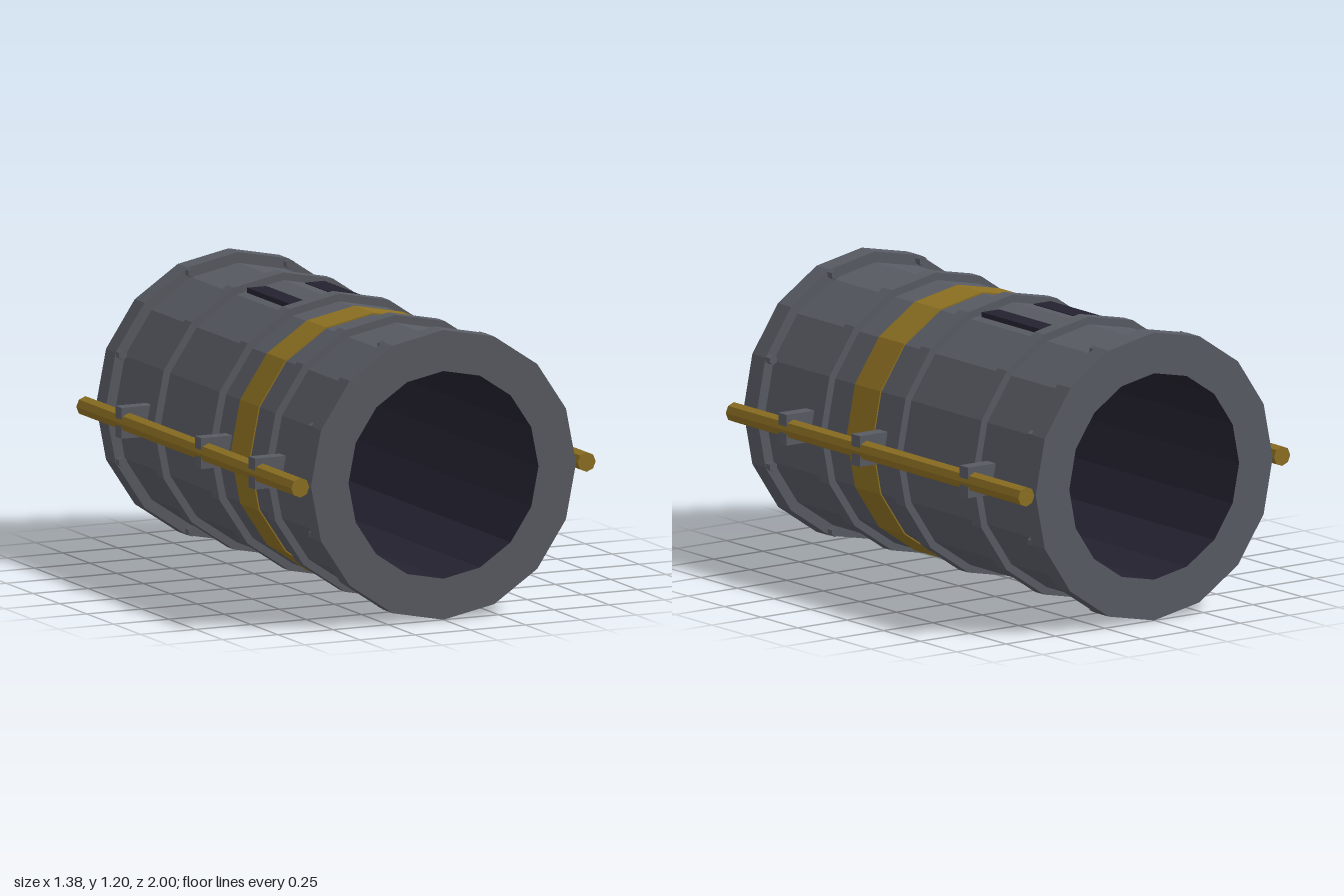
import * as THREE from 'three';

const SIDES = 16;
const CY = 0.6; // height of the tube axis

export function createModel() {
  const mat = (name, color) => {
    const m = new THREE.MeshStandardMaterial({ color });
    m.name = name;
    return m;
  };
  const steel = mat('steel grey', 0x585b63);
  const gold = mat('dull gold', 0x8d7022);
  const dark = mat('dark interior', 0x242230);

  const model = new THREE.Group();
  model.name = 'tubeSection';

  const add = (name, geometry, material, x = 0, y = 0, z = 0) => {
    const flat = geometry.index ? geometry.toNonIndexed() : geometry;
    flat.computeVertexNormals(); // faceted look
    const mesh = new THREE.Mesh(flat, material);
    mesh.name = name;
    mesh.position.set(x, y, z);
    model.add(mesh);
    return mesh;
  };

  // Revolve a profile of [radius, z] pairs around the z axis
  const revolve = (name, profile, material) => {
    const points = profile.map(([r, z]) => new THREE.Vector2(r, z));
    const g = new THREE.LatheGeometry(points, SIDES).rotateX(Math.PI / 2);
    return add(name, g, material, 0, CY, 0);
  };
  const ring = (name, inner, outer, z0, z1, material) =>
    revolve(name, [[inner, z0], [outer, z0], [outer, z1], [inner, z1]], material);

  // Hull tube and dark lining
  revolve('hull', [[0.555, -0.95], [0.555, 0.95]], steel);
  revolve('lining', [[0.43, 1], [0.43, -1]], dark);

  // End flanges
  ring('frontFlange', 0.43, 0.6, 0.91, 1, steel);
  ring('backFlange', 0.43, 0.6, -1, -0.91, steel);

  // Raised ribs and the painted band
  for (const z of [-0.52, 0, 0.52]) ring('rib', 0.54, 0.587, z - 0.032, z + 0.032, steel);
  ring('paintedBand', 0.55, 0.561, 0.173, 0.347, gold);

  // Bolts on the inner side of each flange
  for (const side of [-1, 1]) {
    for (let i = 0; i < 8; i++) {
      const a = ((i + 0.5) * Math.PI) / 4;
      const bolt = new THREE.CylinderGeometry(0.02, 0.02, 0.04, 6).rotateX(Math.PI / 2);
      add('bolt', bolt, steel, Math.cos(a) * 0.58, CY + Math.sin(a) * 0.58, side * 0.9);
    }
  }

  // Side rails with their brackets
  for (const side of [-1, 1]) {
    const rail = new THREE.CylinderGeometry(0.041, 0.041, 2, 8).rotateX(Math.PI / 2);
    add(side > 0 ? 'leftRail' : 'rightRail', rail, gold, side * 0.648, CY, 0);
    for (const z of [-0.62, 0.12, 0.62]) {
      add('railBracket', new THREE.BoxGeometry(0.14, 0.128, 0.058), steel, side * 0.613, CY, z);
    }
  }

  // Dark slots on top
  for (const side of [-1, 1]) {
    add('topSlot', new THREE.BoxGeometry(0.088, 0.03, 0.412), dark, side * 0.131, 1.126, -0.262);
  }

  return model;
}
